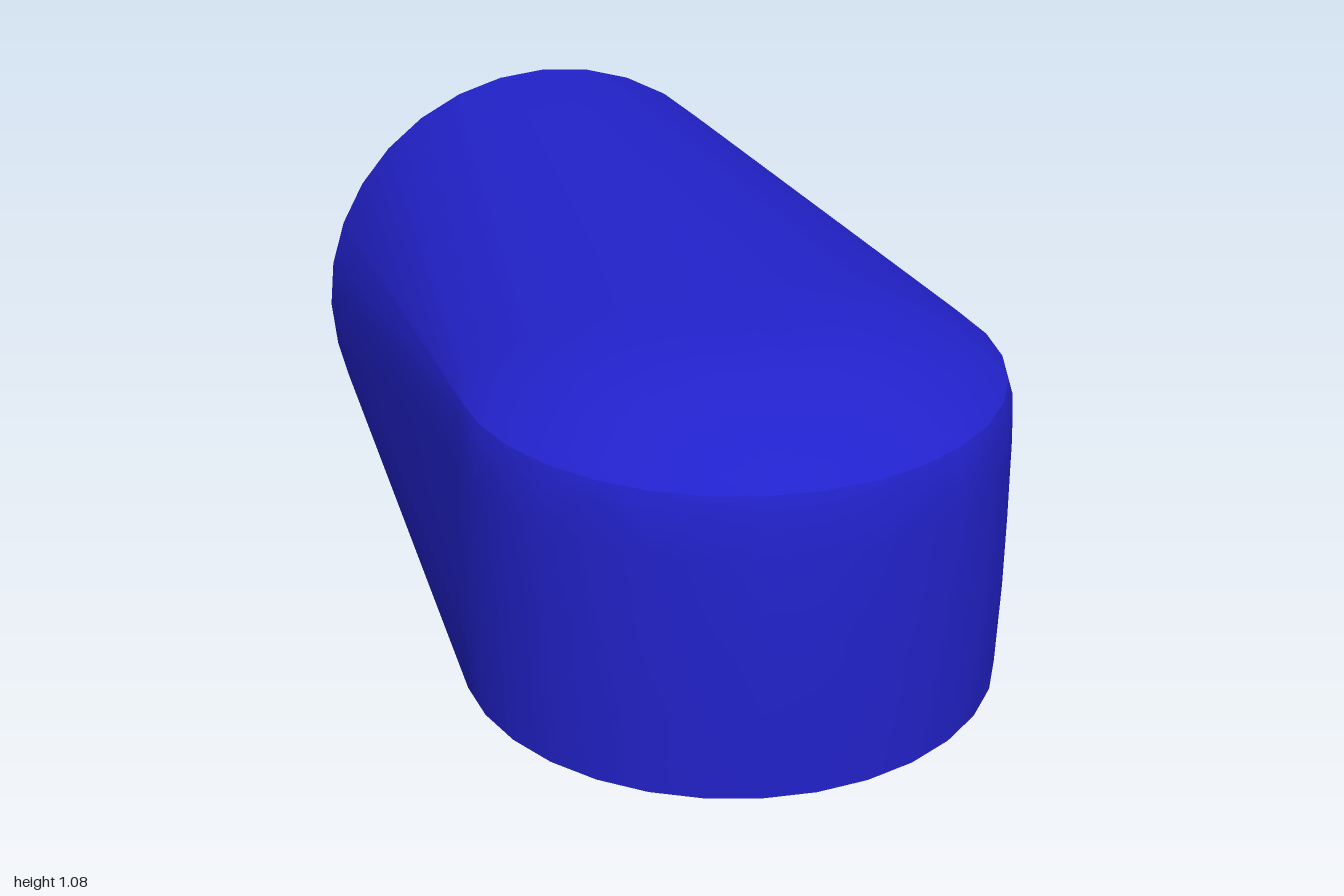
import * as THREE from 'three';
import { ConvexGeometry } from 'three/addons/geometries/ConvexGeometry.js';
import { toCreasedNormals } from 'three/addons/utils/BufferGeometryUtils.js';

const SEGMENTS = 32;

// Rings of points from a [radius, offset] profile, placed by a function
function rings(profile, place) {
  const points = [];
  for (const [r, d] of profile) {
    const n = r === 0 ? 1 : SEGMENTS;
    for (let i = 0; i < n; i++) {
      const a = (i / n) * Math.PI * 2;
      points.push(place(r * Math.cos(a), r * Math.sin(a), d));
    }
  }
  return points;
}

export function createModel() {
  const group = new THREE.Group();
  group.name = 'capsuleBody';

  // Upright domed drum at the front: [radius, height]
  const frontProfile = [
    [0.526, 0.325], [0.532, 0.5], [0.533, 0.65], [0.532, 0.82], [0.527, 0.91],
    [0.518, 0.94], [0.495, 0.96], [0.43, 0.998], [0.36, 1.03], [0.28, 1.055],
    [0.2, 1.073], [0.1, 1.079], [0, 1.081],
  ];
  const front = rings(frontProfile, (u, v, y) => new THREE.Vector3(u, y, 0.465 + v));

  // Lying drum with a bevelled end at the back: [radius, z]
  const backProfile = [
    [0.526, -0.4], [0.533, -0.55], [0.535, -0.65], [0.533, -0.76], [0.525, -0.935],
    [0.435, -0.985], [0.2, -0.998], [0, -1],
  ];
  const back = rings(backProfile, (u, v, z) => new THREE.Vector3(u, 0.54 + v, z));

  // Tight skin stretched over both drums
  const skin = toCreasedNormals(new ConvexGeometry([...front, ...back]), 0.55);
  const body = new THREE.Mesh(skin, new THREE.MeshStandardMaterial({ color: 0x2222cc }));
  body.name = 'body';
  group.add(body);
  return group;
}
